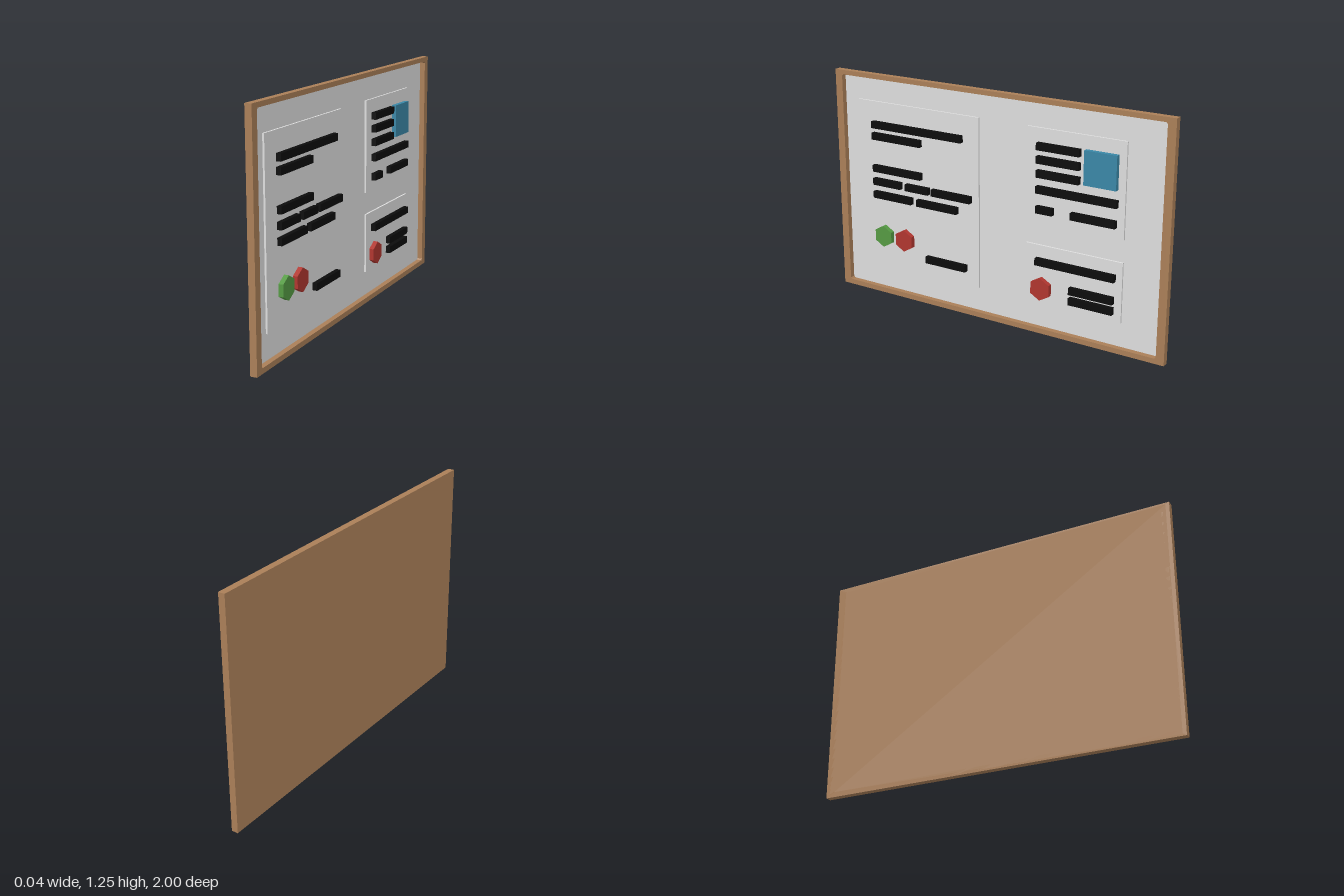
import * as THREE from 'three';

// The board's displayed face looks along +x; widths run along z.
const BACK = -0.0215, RIM = 0.0145, PANEL = -0.015, PAPER = -0.005, TOP = 0.0205;

const mat = (name, color) => {
  const m = new THREE.MeshStandardMaterial({ color });
  m.name = name;
  return m;
};

export function createModel() {
  const wood = mat('wood', 0xaa7f58);
  const white = mat('white', 0xdedede);
  const ink = mat('ink', 0x0c0c0c);
  const blue = mat('blue', 0x3a87a6);
  const green = mat('green', 0x559a43);
  const red = mat('red', 0xb0362f);

  const group = new THREE.Group();
  group.name = 'noticeBoard';

  const add = (name, geometry, material) => {
    const mesh = new THREE.Mesh(geometry, material);
    mesh.name = name;
    group.add(mesh);
  };

  // Box given by its extents in x, y and z
  const slab = (name, material, x0, x1, y0, y1, z0, z1) => {
    const g = new THREE.BoxGeometry(x1 - x0, y1 - y0, Math.abs(z1 - z0));
    g.translate((x0 + x1) / 2, (y0 + y1) / 2, (z0 + z1) / 2);
    add(name, g, material);
  };

  // Octagonal outline: a rectangle with clipped corners
  const clipped = (Path, w, y0, y1, c) => new Path([
    [-w + c, y0], [w - c, y0], [w, y0 + c], [w, y1 - c],
    [w - c, y1], [-w + c, y1], [-w, y1 - c], [-w, y0 + c],
  ].map(([x, y]) => new THREE.Vector2(x, y)));

  // Frame rim with opening, backing and recessed panel
  const rim = new THREE.Shape([[-1, 0], [1, 0], [1, 1.25], [-1, 1.25]].map(([x, y]) => new THREE.Vector2(x, y)));
  rim.holes.push(clipped(THREE.Path, 0.956, 0.028, 1.225, 0.008));
  const frame = new THREE.ExtrudeGeometry(rim, { depth: RIM - BACK, bevelEnabled: false });
  frame.rotateY(Math.PI / 2).translate(BACK, 0, 0);
  add('frame', frame, wood);
  slab('backing', wood, BACK, BACK + 0.003, 0.01, 1.24, -0.98, 0.98);
  slab('panel', white, BACK + 0.003, PANEL, 0.02, 1.233, -0.965, 0.965);

  // Paper sheets: y0, y1, z0, z1
  [
    [0.16, 1.098, 0.088, 0.865],
    [0.6, 1.098, -0.75, -0.2],
    [0.16, 0.482, -0.75, -0.2],
  ].forEach((s) => slab('sheet', white, PANEL, PAPER, ...s));

  // Printed lines: centre y, then pairs of start and end z
  [
    [0.972, 0.763, 0.185],
    [0.908, 0.763, 0.447],
    [0.726, 0.763, 0.447],
    [0.651, 0.763, 0.581, 0.549, 0.399, 0.378, 0.131],
    [0.576, 0.763, 0.511, 0.474, 0.217],
    [0.26, 0.42, 0.163],
    [1.007, -0.265, -0.506],
    [0.938, -0.265, -0.506],
    [0.865, -0.265, -0.506],
    [0.782, -0.265, -0.715],
    [0.677, -0.265, -0.361, -0.463, -0.71],
    [0.396, -0.265, -0.715],
    [0.276, -0.463, -0.71],
    [0.22, -0.463, -0.71],
  ].forEach(([y, ...ends]) => {
    for (let i = 0; i < ends.length; i += 2) {
      slab('printedLine', ink, PAPER, TOP, y - 0.019, y + 0.019, ends[i], ends[i + 1]);
    }
  });

  // Picture
  slab('picture', blue, PAPER, TOP - 0.001, 0.851, 1.028, -0.533, -0.71);

  // Hexagonal seals
  const seal = (material, y, z) => {
    const g = new THREE.CylinderGeometry(0.062, 0.062, TOP - PAPER, 6, 1, false, Math.PI / 2).toNonIndexed();
    g.computeVertexNormals();
    g.rotateZ(-Math.PI / 2).translate((TOP + PAPER) / 2, y, z);
    add('seal', g, material);
  };
  seal(green, 0.34, 0.704);
  seal(red, 0.34, 0.565);
  seal(red, 0.249, -0.297);

  return group;
}
